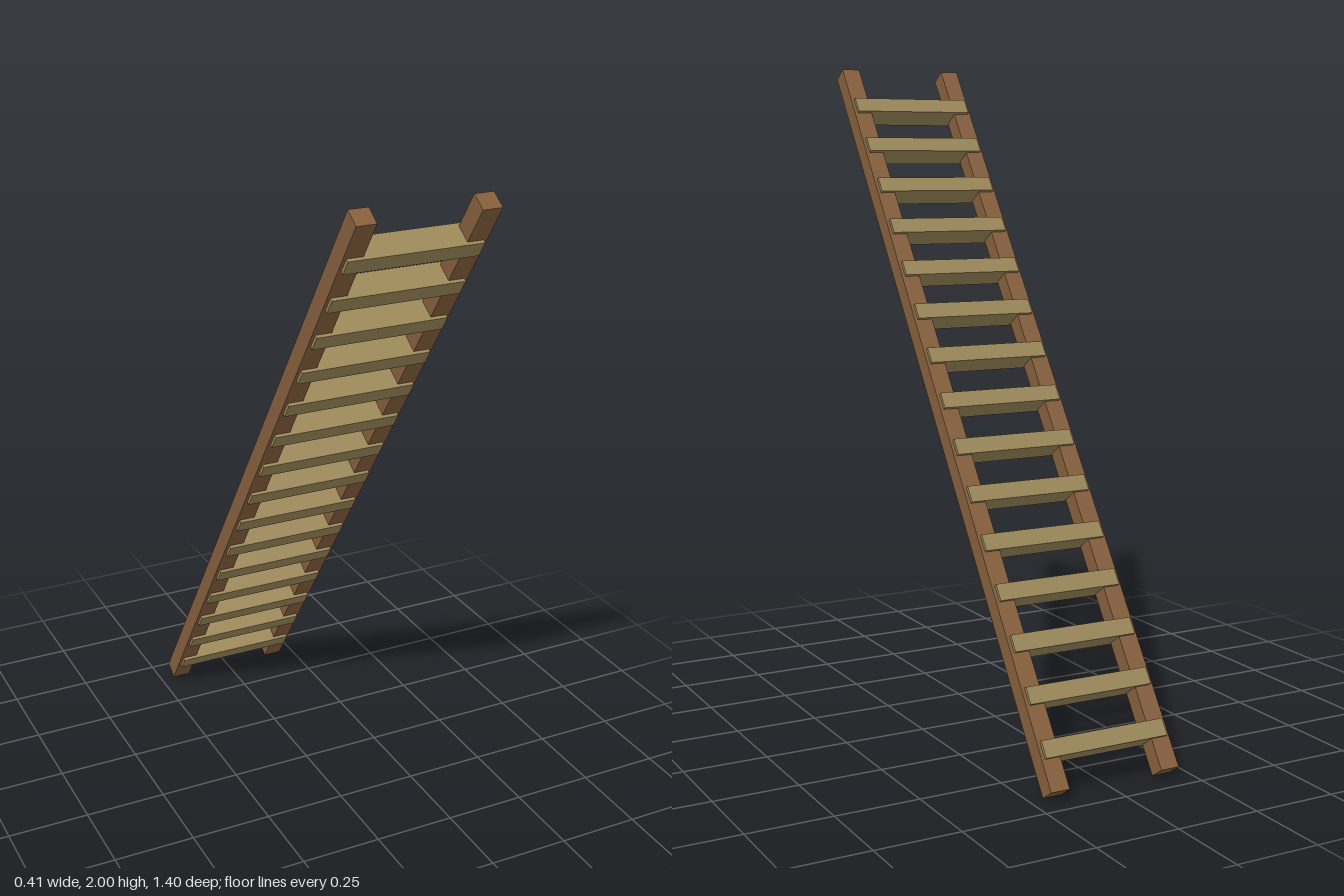
import * as THREE from 'three';

export function createModel() {
  const model = new THREE.Group();
  model.name = 'leaningLadder';

  const railWood = new THREE.MeshStandardMaterial({ color: 0x855f3c });
  railWood.name = 'brownWood';
  const rungWood = new THREE.MeshStandardMaterial({ color: 0x9b8859 });
  rungWood.name = 'paleWood';

  // Ladder is built upright, then tilted so that its top leans to the front
  const ladder = new THREE.Group();
  ladder.name = 'ladder';
  ladder.position.y = 1;
  ladder.rotation.x = THREE.MathUtils.degToRad(34.5);
  model.add(ladder);

  // Two long side rails
  const railGeometry = new THREE.BoxGeometry(0.058, 2.39, 0.055);
  for (const side of [-1, 1]) {
    const rail = new THREE.Mesh(railGeometry, railWood);
    rail.name = side > 0 ? 'leftRail' : 'rightRail';
    rail.position.x = side * 0.177;
    ladder.add(rail);
  }

  // Evenly spaced rungs, slightly deeper than the rails
  const rungCount = 15;
  const lowest = -1.079;
  const highest = 1.05;
  const rungGeometry = new THREE.BoxGeometry(0.392, 0.05, 0.075);
  for (let i = 0; i < rungCount; i++) {
    const rung = new THREE.Mesh(rungGeometry, rungWood);
    rung.name = `rung${i + 1}`;
    rung.position.y = THREE.MathUtils.lerp(lowest, highest, i / (rungCount - 1));
    ladder.add(rung);
  }

  return model;
}
